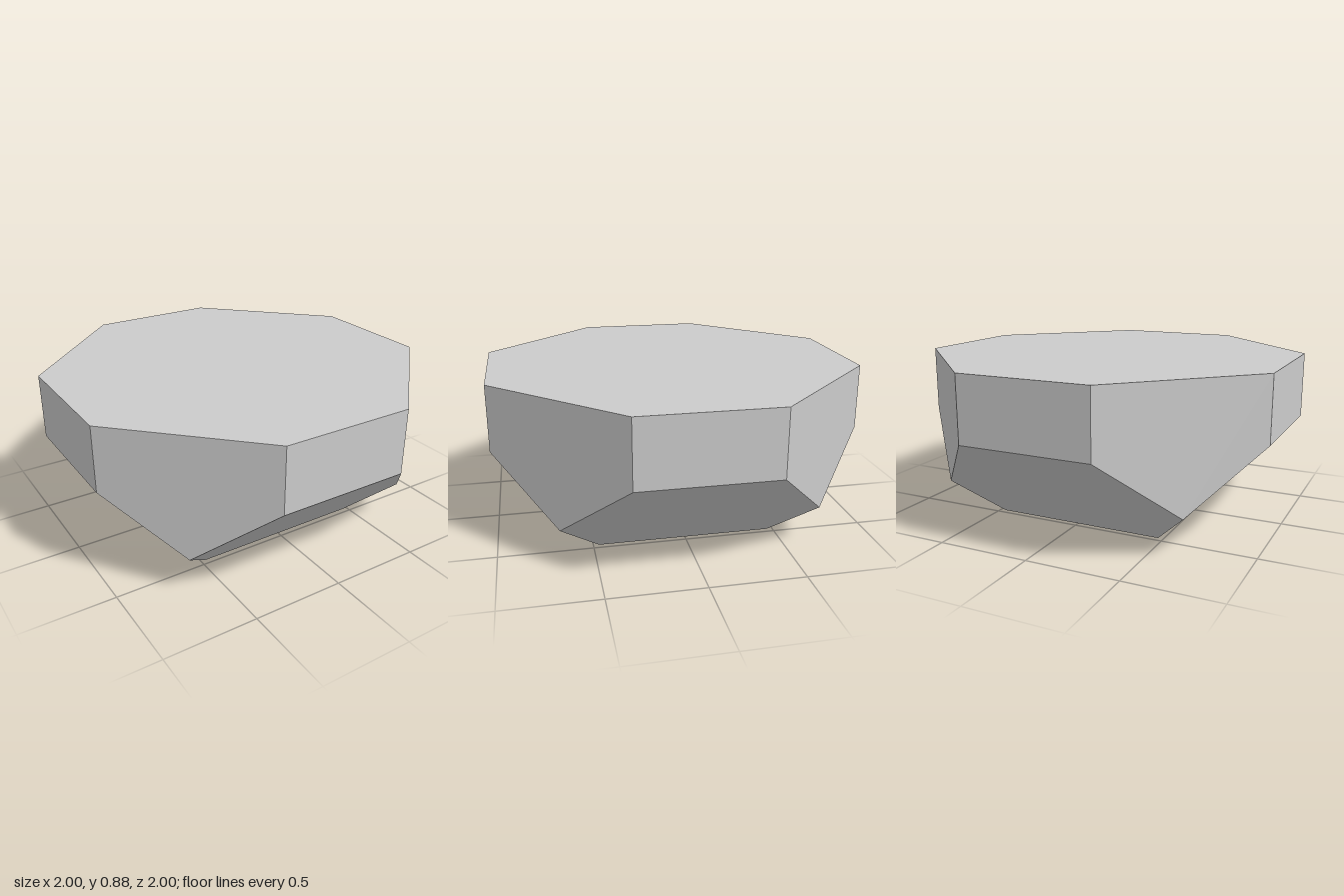
import * as THREE from 'three';

const TOP = 0.885;   // height of the flat top
const RIM = 0.53;    // where the upright walls meet the slopes
const HALF = 0.36;   // half width of a wall
const LOW = 0.21;    // height of the lower tip of each corner facet
const TIP = 0.68;    // x and z of that tip
const BASE = 0.47;   // half width of the square base

// Flat-shaded mesh from convex polygons, each counter-clockwise from outside
function facetMesh(name, polygons, material) {
  const positions = [];
  for (const p of polygons) {
    for (let i = 1; i < p.length - 1; i++) positions.push(...p[0], ...p[i], ...p[i + 1]);
  }
  const geometry = new THREE.BufferGeometry();
  geometry.setAttribute('position', new THREE.Float32BufferAttribute(positions, 3));
  geometry.computeVertexNormals();
  const mesh = new THREE.Mesh(geometry, material);
  mesh.name = name;
  return mesh;
}

export function createModel() {
  const group = new THREE.Group();
  group.name = 'facetedBlock';
  const material = new THREE.MeshStandardMaterial({ color: 0xcccccc, flatShading: true });

  // One quarter of the sides, facing +z
  const wall = [[-HALF, RIM, 1], [HALF, RIM, 1], [HALF, TOP, 1], [-HALF, TOP, 1]];
  const slope = [
    [-BASE, 0, BASE], [BASE, 0, BASE], [TIP, LOW, TIP],
    [HALF, RIM, 1], [-HALF, RIM, 1], [-TIP, LOW, TIP],
  ];
  const corner = [[TIP, LOW, TIP], [1, RIM, HALF], [1, TOP, HALF], [HALF, TOP, 1], [HALF, RIM, 1]];

  // Repeat it around the four sides, collecting the cap outlines
  const walls = [], slopes = [], corners = [], top = [], bottom = [];
  let turn = ([x, y, z]) => [x, y, z];
  for (let i = 0; i < 4; i++) {
    walls.push(wall.map(turn));
    slopes.push(slope.map(turn));
    corners.push(corner.map(turn));
    top.push(turn([-HALF, TOP, 1]), turn([HALF, TOP, 1]));
    bottom.unshift(turn([BASE, 0, BASE]));
    const previous = turn;
    turn = (p) => {
      const [x, y, z] = previous(p);
      return [z, y, -x];
    };
  }

  group.add(
    facetMesh('uprightWalls', walls, material),
    facetMesh('lowerSlopes', slopes, material),
    facetMesh('cornerFacets', corners, material),
    facetMesh('topFace', [top], material),
    facetMesh('baseFace', [bottom], material),
  );
  return group;
}
